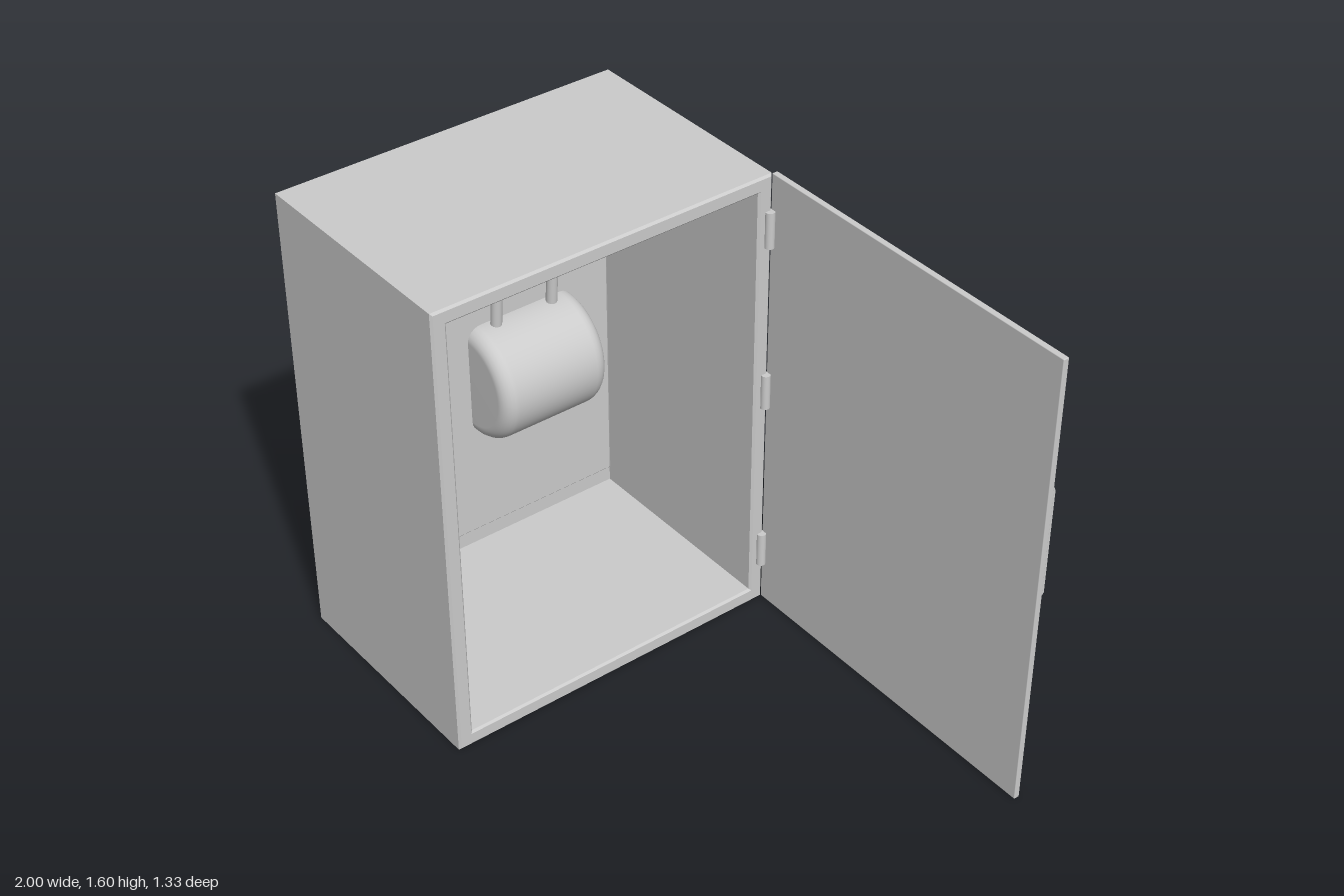
import * as THREE from 'three';
import { RoundedBoxGeometry } from 'three/addons/geometries/RoundedBoxGeometry.js';

const mat = new THREE.MeshStandardMaterial({ color: 0xcccccc });
const HEIGHT = 1.604;

function add(parent, name, geometry, x = 0, y = 0, z = 0) {
  const mesh = new THREE.Mesh(geometry, mat);
  mesh.name = name;
  mesh.position.set(x, y, z);
  parent.add(mesh);
  return mesh;
}

// Counter-clockwise rectangle in (-z, y), to be extruded along +x
const rect = (zFront, zBack, y0, y1) => new THREE.Shape(
  [[zFront, y0], [zBack, y0], [zBack, y1], [zFront, y1]].map(([z, y]) => new THREE.Vector2(-z, y)));

// Extrude a shape from x0 to x1 with bevelled ends, keeping its outer size
function extrudeX(shape, x0, x1, bevel) {
  const g = new THREE.ExtrudeGeometry(shape, {
    depth: x1 - x0 - 2 * bevel, bevelSize: bevel, bevelThickness: bevel,
    bevelOffset: -bevel, bevelSegments: 1,
  });
  return g.rotateY(Math.PI / 2).translate(x0 + bevel, 0, 0);
}

// Cylinder between two points
function rod(parent, name, a, b, radius, sides = 20) {
  const dir = b.clone().sub(a);
  const mesh = add(parent, name, new THREE.CylinderGeometry(radius, radius, dir.length(), sides));
  mesh.position.copy(a).addScaledVector(dir, 0.5);
  mesh.quaternion.setFromUnitVectors(new THREE.Vector3(0, 1, 0), dir.normalize());
}

// Pull handle: an eight-sided section carried along stations of inner and outer [z, y] points
function handleGeometry(x0, x1) {
  const half = [
    [[0.01, 0.25], [0.01, 0.185]],
    [[-0.083, 0.25], [-0.075, 0.185]],
    [[-0.086, 0.247], [-0.128, 0.25]],
  ].map(([inner, outer]) => [[inner[0], 0.435 - inner[1]], [outer[0], 0.435 - outer[1]]]);
  // The lower half mirrors the upper half about the handle's middle
  const mid = 0.87;
  const stations = [
    ...half.map((s) => s.map(([z, y]) => [z, mid + y])),
    ...half.map((s) => s.map(([z, y]) => [z, mid - y])).reverse(),
  ];
  const section = [[0, 0.25], [0, 0.75], [0.25, 1], [0.75, 1], [1, 0.75], [1, 0.25], [0.75, 0], [0.25, 0]];
  const positions = [], indices = [];
  for (const [inner, outer] of stations) {
    for (const [t, s] of section) {
      positions.push(
        x0 + (x1 - x0) * s,
        inner[1] + (outer[1] - inner[1]) * t,
        inner[0] + (outer[0] - inner[0]) * t);
    }
  }
  const n = section.length;
  for (let i = 0; i < stations.length - 1; i++) {
    for (let j = 0; j < n; j++) {
      const a = i * n + j, b = i * n + (j + 1) % n;
      indices.push(a, a + n, b, b, a + n, b + n);
    }
  }
  const g = new THREE.BufferGeometry();
  g.setAttribute('position', new THREE.Float32BufferAttribute(positions, 3));
  g.setIndex(indices);
  const flat = g.toNonIndexed();
  flat.computeVertexNormals();
  return flat;
}

export function createModel() {
  const model = new THREE.Group();
  model.name = 'switchCabinet';

  // Cabinet shell, open towards +x
  const cabinet = new THREE.Group();
  cabinet.name = 'cabinet';
  model.add(cabinet);
  const shell = rect(0.665, -0.535, 0, HEIGHT);
  shell.holes.push(rect(0.614, -0.484, 0.052, 1.552));
  add(cabinet, 'cabinetWalls', extrudeX(shell, -0.97, -0.2, 0.007));
  add(cabinet, 'cabinetBack', new THREE.BoxGeometry(0.04, HEIGHT, 1.2), -0.98, HEIGHT / 2, 0.065);

  // Mounting panel with a bevelled border
  const panelX = -0.83;
  add(cabinet, 'mountingPanel', extrudeX(rect(0.535, -0.4, 0.215, 1.395), -0.97, panelX, 0.012));

  // Label plates and indicator
  for (const y of [0.402, 1.22]) {
    add(cabinet, 'labelPlate', new THREE.BoxGeometry(0.04, 0.14, 0.2), panelX, y, 0.36);
  }
  add(cabinet, 'indicator', new RoundedBoxGeometry(0.1, 0.24, 0.1, 5, 0.035), panelX, 0.805, 0.34);

  // Switch lever: half drum, two arms and a grip bar
  const lever = new THREE.Group();
  lever.name = 'switchLever';
  cabinet.add(lever);
  const profile = [new THREE.Vector2(0, -0.2)];
  for (const [side, from] of [[-1, -Math.PI / 2], [1, 0]]) {
    for (let i = 0; i <= 6; i++) {
      const t = from + (i / 6) * Math.PI / 2;
      profile.push(new THREE.Vector2(0.15 + 0.05 * Math.cos(t), side * 0.15 + 0.05 * Math.sin(t)));
    }
  }
  profile.push(new THREE.Vector2(0, 0.2));
  const drum = new THREE.LatheGeometry(profile, 32, 0, Math.PI).rotateX(Math.PI / 2);
  add(lever, 'drum', drum, panelX, 0.803, -0.053);

  const barX = -0.77, barY = 1.47;
  for (const z of [0.054, -0.157]) {
    rod(lever, 'leverArm', new THREE.Vector3(-0.815, 0.9, z), new THREE.Vector3(barX, barY, z), 0.0185);
  }
  rod(lever, 'gripBar', new THREE.Vector3(barX, barY, 0.14), new THREE.Vector3(barX, barY, -0.24), 0.038, 28);
  for (const z of [0.136, -0.238]) {
    add(lever, 'gripCap', new THREE.CylinderGeometry(0.05, 0.05, 0.026, 28).rotateX(Math.PI / 2), barX, barY, z);
  }

  // Door swung wide open, very slightly tilted about its hinge
  const door = new THREE.Group();
  door.name = 'door';
  door.position.set(-0.205, 0, -0.545);
  door.rotation.y = -0.008;
  model.add(door);
  add(door, 'doorPanel', new RoundedBoxGeometry(1.205, HEIGHT, 0.02, 2, 0.003), 0.6025, HEIGHT / 2, 0);
  add(door, 'pullHandle', handleGeometry(1.048, 1.114));

  // Hinge knuckles
  for (const y of [0.21, 0.835, 1.42]) {
    add(model, 'hinge', new THREE.CylinderGeometry(0.016, 0.016, 0.124, 20), -0.196, y, -0.524);
  }
  return model;
}
